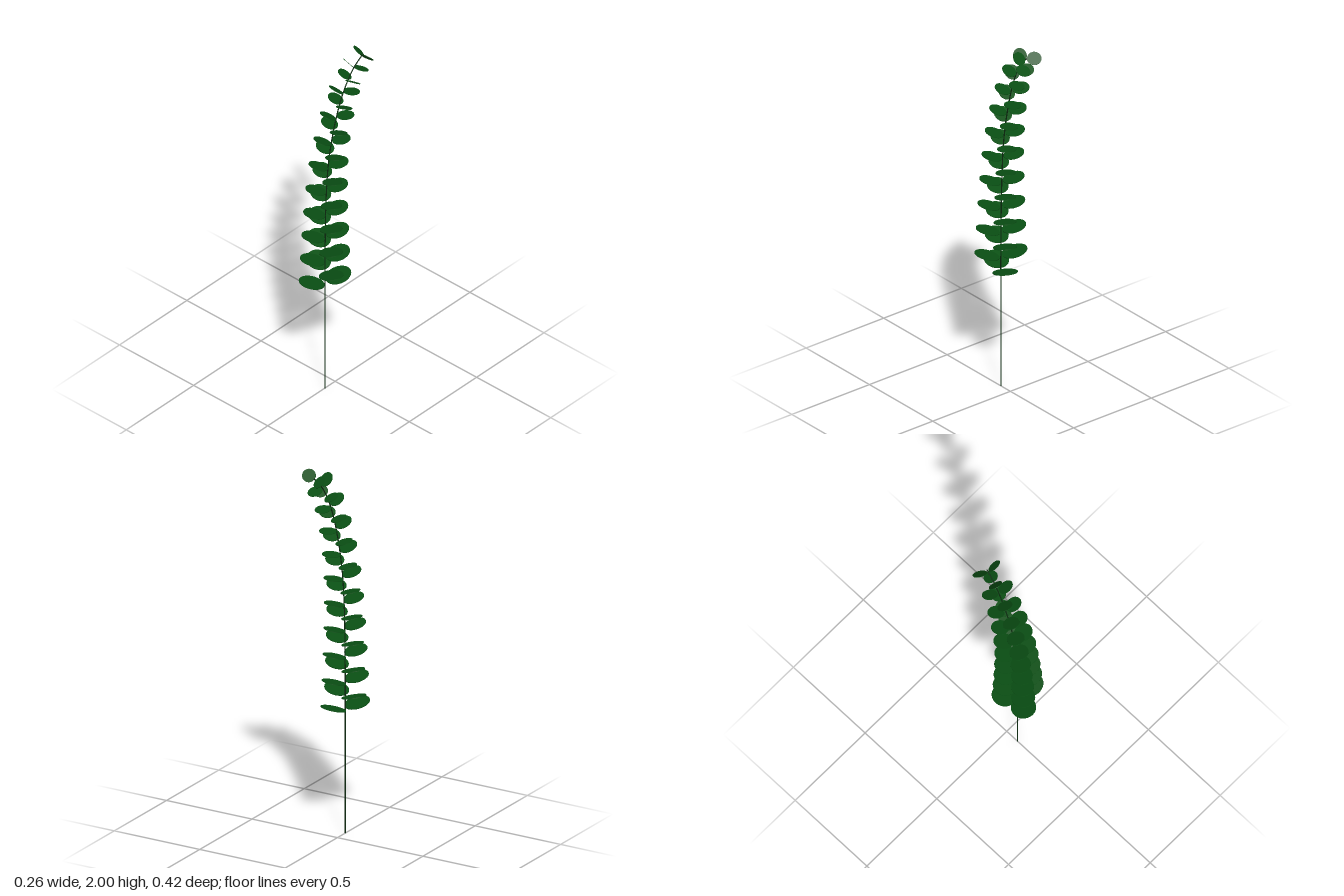
import * as THREE from 'three';

const leafMaterial = new THREE.MeshStandardMaterial({ color: 0x0a5014 });
const stemMaterial = new THREE.MeshStandardMaterial({ color: 0x0a2a0e });

// Thin oval blade: starts at the stem, reaches out along +x
function makeLeafGeometry() {
  const leaf = new THREE.CylinderGeometry(1, 1, 0.004, 28);
  leaf.scale(0.067, 1, 0.063);
  leaf.translate(0.0765, 0, 0);
  leaf.rotateZ(THREE.MathUtils.degToRad(15));
  return leaf;
}

export function createModel() {
  const group = new THREE.Group();
  group.name = 'leafyBranch';

  // Stem: straight below, arching backwards at the top
  const path = new THREE.CatmullRomCurve3([
    [0, 0, 0.075], [0, 0.45, 0.075], [0, 0.9, 0.074], [0, 1.2, 0.066], [0.002, 1.4, 0.05],
    [0.006, 1.6, 0.012], [0.013, 1.775, -0.042], [0.023, 1.9, -0.108], [0.033, 1.967, -0.172],
  ].map((p) => new THREE.Vector3(...p)));
  path.arcLengthDivisions = 600;
  const stem = new THREE.Mesh(new THREE.TubeGeometry(path, 80, 0.003, 8), stemMaterial);
  stem.name = 'stem';
  group.add(stem);

  // Opposite leaf pairs, each turned a quarter from the last and shrinking upwards
  const leafGeometry = makeLeafGeometry();
  const up = new THREE.Vector3(0, 1, 0);
  const length = path.getLength();
  const pairs = 20, first = 0.661;
  const twist = THREE.MathUtils.degToRad(-22);
  for (let i = 0; i < pairs; i++) {
    const u = (first + (length - 0.015 - first) * i / (pairs - 1)) / length;
    const pair = new THREE.Group();
    pair.name = `leafPair${i + 1}`;
    pair.position.copy(path.getPointAt(u));
    pair.quaternion.setFromUnitVectors(up, path.getTangentAt(u));
    pair.scale.setScalar(1 - 0.0235 * i);
    for (const side of [0, 1]) {
      const leaf = new THREE.Mesh(leafGeometry, leafMaterial);
      leaf.name = side ? 'leafB' : 'leafA';
      leaf.rotation.y = twist + side * Math.PI + (i % 2 ? 0 : Math.PI / 2);
      pair.add(leaf);
    }
    group.add(pair);
  }
  return group;
}
